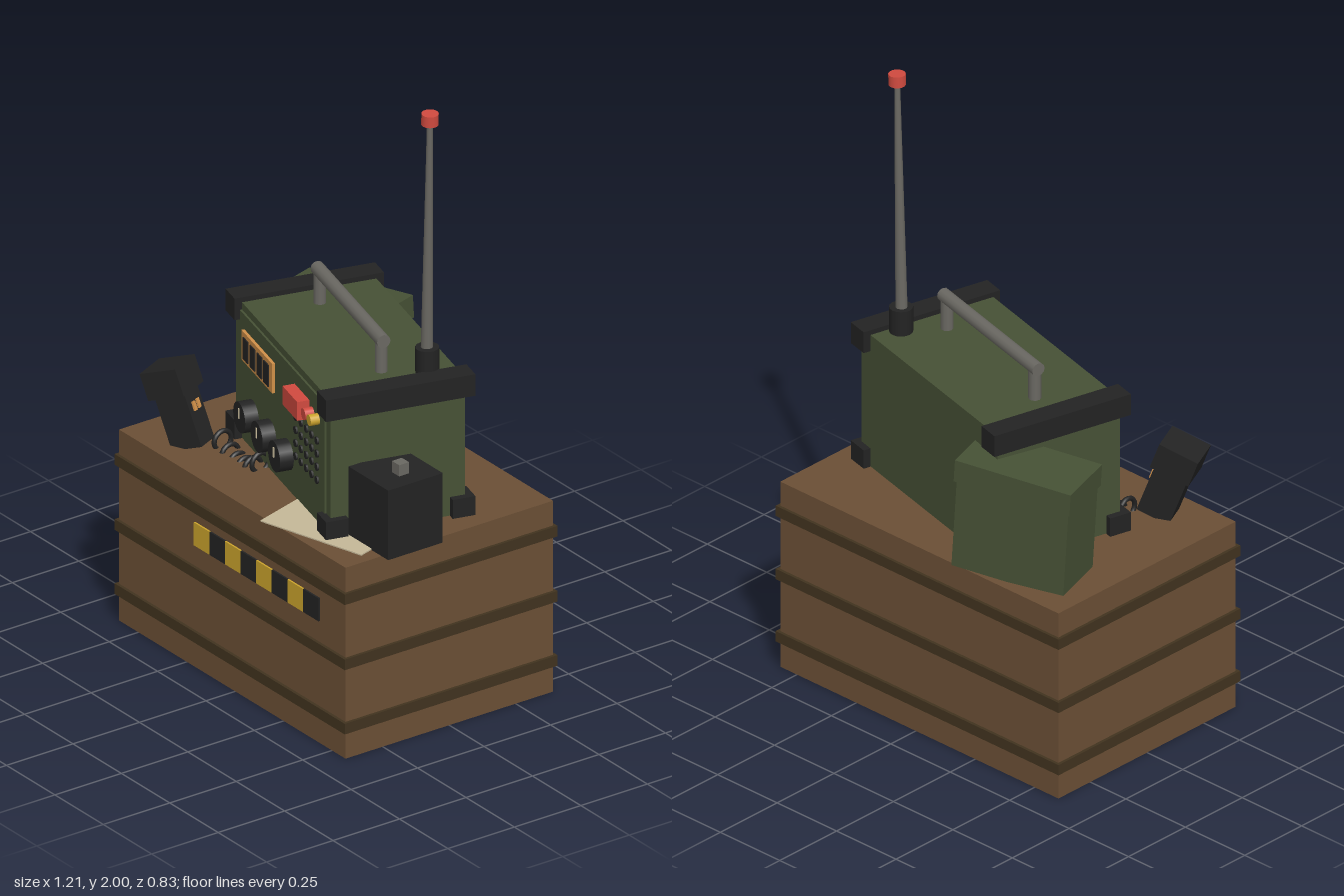
import * as THREE from 'three';

const material = (name, color) => {
  const m = new THREE.MeshStandardMaterial({ color });
  m.name = name;
  return m;
};

export function createModel() {
  const wood = material('crate brown', 0x6b4f35);
  const band = material('band brown', 0x41331f);
  const green = material('field green', 0x465135);
  const black = material('rubber black', 0x232323);
  const metal = material('metal grey', 0x6a6862);
  const red = material('signal red', 0xd04a3f);
  const orange = material('display orange', 0xcf8f48);
  const yellow = material('warning yellow', 0xcba32c);
  const paper = material('paper cream', 0xc4b898);

  const add = (parent, name, geometry, mat, x, y, z) => {
    const mesh = new THREE.Mesh(geometry, mat);
    mesh.name = name;
    mesh.position.set(x, y, z);
    parent.add(mesh);
    return mesh;
  };
  const box = (parent, name, mat, w, h, d, x, y, z) =>
    add(parent, name, new THREE.BoxGeometry(w, h, d), mat, x, y, z);
  const cylinder = (parent, name, mat, top, bottom, h, x, y, z, sides = 16) =>
    add(parent, name, new THREE.CylinderGeometry(top, bottom, h, sides), mat, x, y, z);
  const dial = (parent, name, mat, r, depth, x, y, z, sides = 16) => {
    const mesh = cylinder(parent, name, mat, r, r, depth, x, y, z + depth / 2, sides);
    mesh.rotation.x = Math.PI / 2;
    return mesh;
  };
  const subgroup = (parent, name, x, y, z) => {
    const g = new THREE.Group();
    g.name = name;
    g.position.set(x, y, z);
    parent.add(g);
    return g;
  };

  const model = new THREE.Group();
  model.name = 'fieldRadioOnCrate';

  // Crate with three bands and a striped warning strip
  const crate = subgroup(model, 'crate', -0.015, 0, 0);
  box(crate, 'crateBody', wood, 1.17, 0.648, 0.78, 0, 0.324, 0);
  for (const y of [0.107, 0.325, 0.546]) box(crate, 'crateBand', band, 1.19, 0.036, 0.8, 0, y, 0);
  const stripe = 0.0806;
  for (let i = 0; i < 8; i++) {
    box(model, 'warningStripe', i % 2 ? black : yellow, stripe, 0.078, 0.008,
      -0.206 + stripe * (i + 0.5), 0.454, 0.392);
  }

  // Radio body, turned on the crate
  const radio = subgroup(model, 'radio', 0.0515, 0, -0.006);
  radio.rotation.y = -0.25;
  box(radio, 'radioBody', green, 0.78, 0.46, 0.44, 0, 0.88, 0);
  box(radio, 'frontPanel', green, 0.71, 0.415, 0.01, 0, 0.878, 0.222);
  for (const sx of [-1, 1]) {
    box(radio, 'topBumper', black, 0.074, 0.073, 0.489, sx * 0.3755, 1.09, 0);
    for (const sz of [-1, 1]) {
      box(radio, 'cornerFoot', black, 0.074, 0.064, 0.074, sx * 0.3755, 0.681, sz * 0.2075);
    }
    cylinder(radio, 'handlePost', metal, 0.02, 0.02, 0.12, sx * 0.252, 1.158, 0, 10);
  }
  const grip = cylinder(radio, 'handleGrip', metal, 0.022, 0.022, 0.547, 0, 1.218, 0, 12);
  grip.rotation.z = Math.PI / 2;

  // Display
  const face = 0.227;
  box(radio, 'displayFrame', orange, 0.252, 0.1, 0.012, -0.175, 0.987, face + 0.004);
  for (let i = 0; i < 4; i++) {
    box(radio, 'displayDigit', black, 0.04, 0.073, 0.004, -0.262 + i * 0.0565, 0.985, face + 0.012);
  }

  // Knobs with pointers
  for (const x of [-0.231, -0.088, 0.055]) {
    dial(radio, 'knob', black, 0.05, 0.045, x, 0.778, face, 20);
    box(radio, 'knobPointer', paper, 0.007, 0.034, 0.004, x, 0.792, face + 0.046);
  }

  // Switch, indicator lamps and speaker holes
  box(radio, 'redSwitch', red, 0.121, 0.063, 0.04, 0.172, 1.011, face + 0.02);
  dial(radio, 'redLamp', red, 0.019, 0.03, 0.256, 1.011, face);
  dial(radio, 'yellowLamp', yellow, 0.018, 0.03, 0.302, 1.011, face);
  for (let row = 0; row < 4; row++) {
    for (let col = 0; col < 5; col++) {
      dial(radio, 'speakerHole', black, 0.0125, 0.006, 0.126 + col * 0.0435, 0.937 - row * 0.0445, face, 10);
    }
  }

  // Antenna, leaning slightly outward
  cylinder(model, 'antennaBase', black, 0.037, 0.037, 0.1, 0.385, 1.145, -0.052, 16);
  const antenna = subgroup(model, 'antenna', 0.383, 1.18, -0.052);
  antenna.rotation.set(0.008, 0, -0.031);
  cylinder(antenna, 'antennaRod', metal, 0.009, 0.019, 0.8, 0, 0.4, 0, 10);
  cylinder(antenna, 'antennaTip', red, 0.027, 0.027, 0.037, 0, 0.8, 0, 14);

  // Battery box beside the radio
  box(model, 'batteryBox', black, 0.205, 0.236, 0.205, 0.502, 0.766, 0.152);
  box(model, 'batteryTerminal', metal, 0.037, 0.04, 0.037, 0.527, 0.902, 0.152);

  // Leaning pouch behind the radio
  const pouch = subgroup(model, 'pouch', -0.325, 0.648, -0.263);
  pouch.rotation.set(0, 0.3, 0.06, 'YXZ');
  box(pouch, 'pouchBody', green, 0.38, 0.37, 0.2, 0, 0.185, 0);
  box(pouch, 'pouchLid', green, 0.394, 0.075, 0.214, 0, 0.337, 0);

  // Handset leaning outward
  const handset = subgroup(model, 'handset', -0.385, 0.65, 0.268);
  handset.rotation.set(0, 0.43, 0.35, 'YXZ');
  box(handset, 'handsetGrip', black, 0.11, 0.2, 0.08, 0, 0.1, 0);
  box(handset, 'handsetHead', black, 0.132, 0.09, 0.122, 0, 0.22, 0);
  for (const z of [-0.012, 0.012]) {
    box(handset, 'handsetContact', orange, 0.008, 0.03, 0.014, 0.057, 0.125, z);
  }

  // Coiled cord sagging from the handset to the radio
  for (let i = 0; i < 6; i++) {
    const x = -0.326 + i * 0.039;
    const sag = (x + 0.23) / 0.1;
    const ring = add(model, 'cordCoil', new THREE.TorusGeometry(0.032, 0.008, 8, 18), black,
      x, 0.62 + 0.05 * sag * sag, 0.2);
    ring.rotation.y = Math.PI / 2;
  }

  // Loose sheet tucked under the radio
  const sheet = box(model, 'paperSheet', paper, 0.386, 0.004, 0.27, 0.31, 0.651, 0.23);
  sheet.rotation.y = 0.29;

  return model;
}
